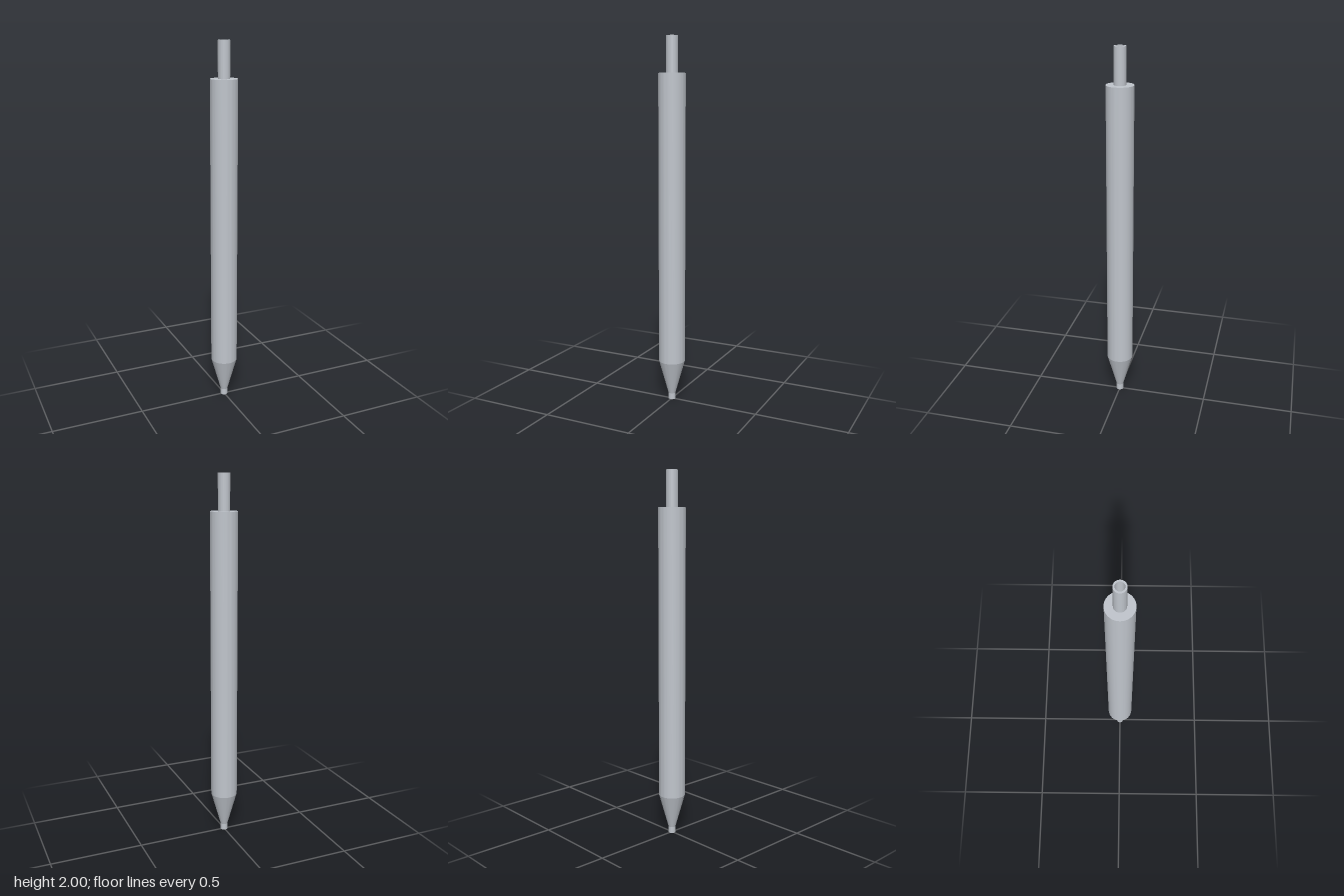
import * as THREE from 'three';
import { toCreasedNormals } from 'three/addons/utils/BufferGeometryUtils.js';

export function createModel() {
  const model = new THREE.Group();
  model.name = 'pen';
  const metal = new THREE.MeshStandardMaterial({ color: 0xc0c5cc });
  metal.name = 'silver metal';

  // Each profile runs up the outside and back down the inside as [radius, y]
  const turned = (name, profile) => {
    const points = profile.map(([r, y]) => new THREE.Vector2(r, y));
    const geometry = toCreasedNormals(new THREE.LatheGeometry(points, 64), 0.2);
    const mesh = new THREE.Mesh(geometry, metal);
    mesh.name = name;
    model.add(mesh);
  };

  const bore = 0.023, tipBore = 0.0125;

  // Narrow collar at the writing end, with its through hole
  turned('tip', [
    [tipBore, 0], [0.02, 0], [0.02, 0.035], [tipBore, 0.035], [tipBore, 0],
  ]);
  // Tapered nose, funnelled inside
  turned('nose', [
    [tipBore, 0.035], [0.02, 0.035], [0.073, 0.225], [bore, 0.225], [tipBore, 0.035],
  ]);
  // Long straight barrel
  turned('barrel', [
    [bore, 0.225], [0.073, 0.225], [0.073, 1.807], [bore, 1.807], [bore, 0.225],
  ]);
  // Hollow push button
  turned('button', [
    [bore, 1.807], [0.032, 1.807], [0.032, 2], [bore, 2], [bore, 1.807],
  ]);

  return model;
}
